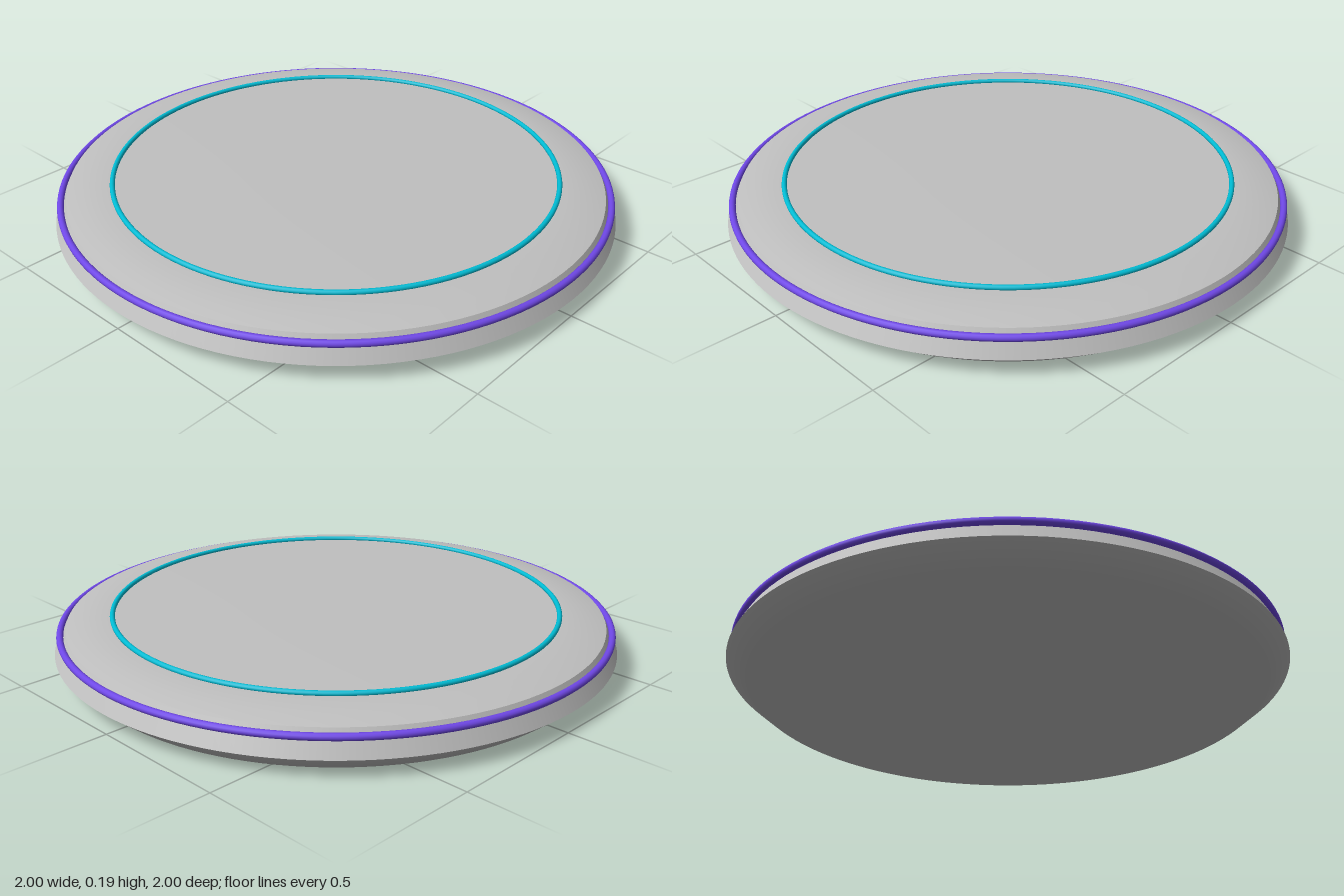
import * as THREE from 'three';

const SEGMENTS = 128;

const shell = new THREE.MeshStandardMaterial({ color: 0xc0c0c0 });
shell.name = 'grey shell';
const violet = new THREE.MeshStandardMaterial({ color: 0x7048e8 });
violet.name = 'violet trim';
const cyan = new THREE.MeshStandardMaterial({ color: 0x00bcd4 });
cyan.name = 'cyan trim';

export function createModel() {
  const group = new THREE.Group();
  group.name = 'discPlatform';

  const add = (name, geometry, material) => {
    const mesh = new THREE.Mesh(geometry, material);
    mesh.name = name;
    group.add(mesh);
    return mesh;
  };

  // Revolved surface from [radius, height] pairs; separate pieces keep the rims sharp
  const lathe = (name, points) => add(name,
    new THREE.LatheGeometry(points.map(([r, y]) => new THREE.Vector2(r, y)), SEGMENTS), shell);

  // Horizontal trim ring
  const ring = (name, radius, tube, y, material) => {
    const geometry = new THREE.TorusGeometry(radius, tube, 12, SEGMENTS);
    add(name, geometry.rotateX(Math.PI / 2).translate(0, y, 0), material);
  };

  // Disc body: softly shaded underside, sloping side wall, shallow raised top
  lathe('underside', [[0, 0], [0.92, 0], [1, 0.065]]);
  lathe('sideWall', [[1, 0.065], [0.957, 0.147]]);
  lathe('topSurface', [[0.957, 0.147], [0.9, 0.16], [0.8, 0.172], [0, 0.172]]);

  // Coloured trim
  ring('outerRing', 0.978, 0.012, 0.128, violet);
  ring('innerRing', 0.796, 0.009, 0.176, cyan);

  return group;
}
